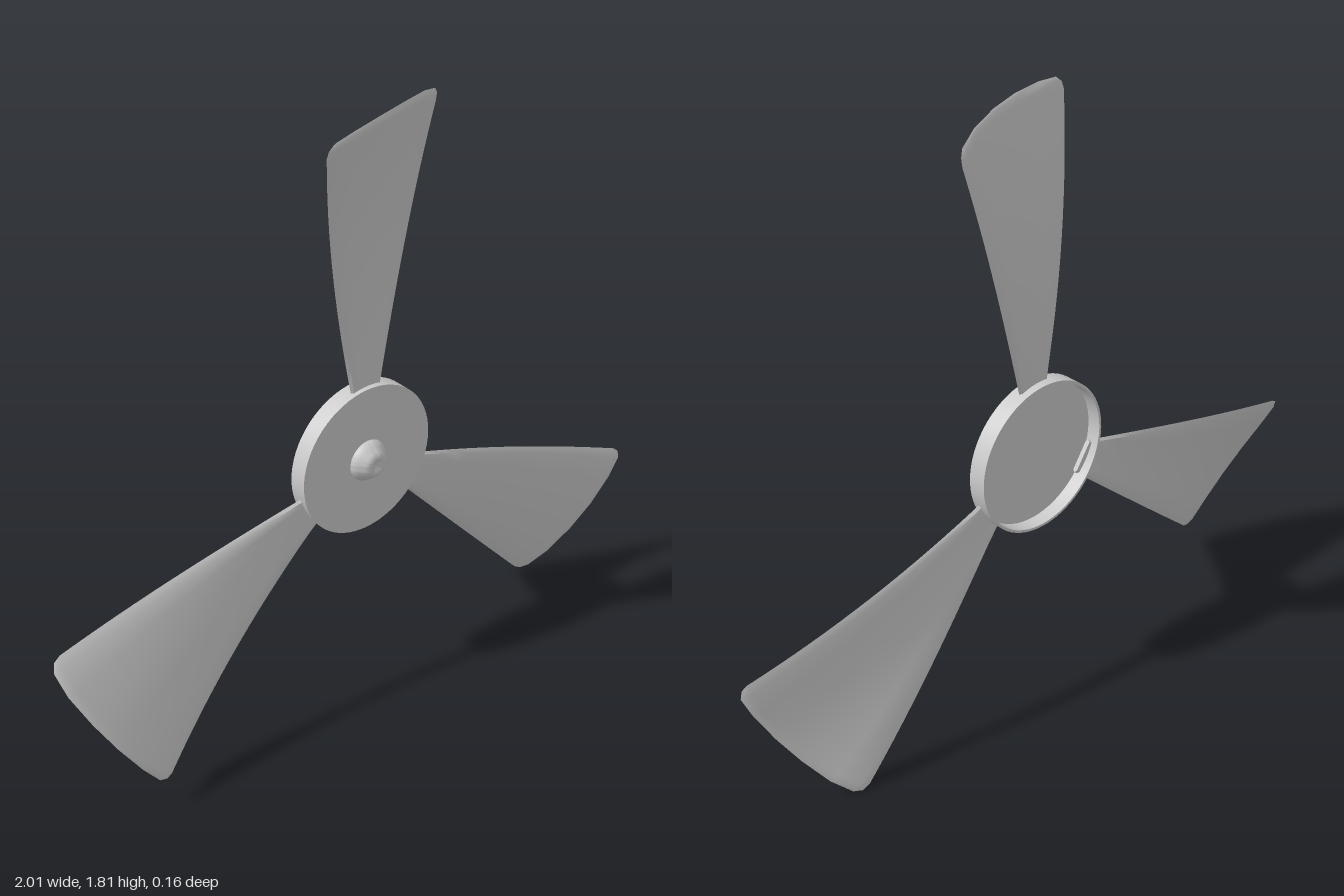
import * as THREE from 'three';
import { toCreasedNormals } from 'three/addons/utils/BufferGeometryUtils.js';

const material = new THREE.MeshStandardMaterial({ color: 0xcccccc, side: THREE.DoubleSide });
const { lerp } = THREE.MathUtils;

// Lathed part whose axis points along +z; points are [radius, z]
function turned(name, points, crease) {
  const profile = points.map(([r, z]) => new THREE.Vector2(r, z));
  const geometry = new THREE.LatheGeometry(profile, 64).rotateX(Math.PI / 2);
  const mesh = new THREE.Mesh(toCreasedNormals(geometry, crease), material);
  mesh.name = name;
  return mesh;
}

// Rounded tip outline: radius of the blade end across its width
const TIP = [[0, 1.0], [0.015, 1.02], [0.06, 1.037], [0.2, 1.047], [0.4, 1.052],
  [0.6, 1.05], [0.8, 1.04], [0.94, 1.02], [0.985, 1.0], [1, 0.975]];
const ROOT = 0.205;

// Twisted, cambered blade point; side is +1 for the front skin, -1 for the back
function bladePoint([u, tip], v, thickness, side) {
  const r = lerp(ROOT, tip, v);
  const t = (r - ROOT) / 0.81;
  const x = lerp(-0.04 - 0.158 * t, 0.063 + 0.25 * t, u);
  const leading = -0.02 + 0.096 * Math.pow(t, 2.2);
  const trailing = -0.025 - 0.05 * Math.sin(t * Math.PI * 0.55);
  const camber = 0.022 * t * 4 * u * (1 - u);
  const edge = Math.min(1, Math.min(u, 1 - u) / 0.06);
  return [x, r, lerp(leading, trailing, u) + camber + side * thickness * edge];
}

// Closed skin: a loop of front and back points for every row along the blade
function bladeGeometry() {
  const last = TIP.length - 1;
  const rows = [[0, 0], [0, 0.007]];
  for (let i = 1; i <= 15; i++) rows.push([i * 0.064, 0.007]);
  rows.push([0.975, 0.007], [0.992, 0.005], [1, 0]);
  const loop = [];
  for (let j = 0; j <= last; j++) loop.push([TIP[j], 1]);
  for (let j = last - 1; j > 0; j--) loop.push([TIP[j], -1]);

  const positions = [];
  const index = [];
  const n = loop.length;
  rows.forEach(([v, thickness], i) => {
    loop.forEach(([station, side], j) => {
      positions.push(...bladePoint(station, v, thickness, side));
      if (i === rows.length - 1) return;
      const a = i * n + j;
      const b = i * n + (j + 1) % n;
      index.push(a, b, b + n, a, b + n, a + n);
    });
  });
  const geometry = new THREE.BufferGeometry();
  geometry.setAttribute('position', new THREE.Float32BufferAttribute(positions, 3));
  geometry.setIndex(index);
  return toCreasedNormals(geometry, 0.7);
}

export function createModel() {
  const model = new THREE.Group();
  model.name = 'propeller';
  const rotor = new THREE.Group();
  rotor.name = 'rotor';
  rotor.position.set(0.015, 0.76, 0);
  model.add(rotor);

  // Shallow hub cup, open at the back
  rotor.add(turned('hub', [[0, -0.012], [0.222, -0.012], [0.222, -0.055],
    [0.23, -0.055], [0.23, 0], [0, 0]], 0.5));

  // Tapered nose with a small dimple in its tip
  rotor.add(turned('nose', [[0.063, 0], [0.062, 0.007], [0.052, 0.02], [0.04, 0.036],
    [0.032, 0.043], [0.023, 0.045], [0.015, 0.042], [0, 0.036]], 1));

  // Three blades around the hub
  const geometry = bladeGeometry();
  for (let i = 0; i < 3; i++) {
    const blade = new THREE.Mesh(geometry, material);
    blade.name = `blade${i + 1}`;
    blade.rotation.z = (i * Math.PI * 2) / 3;
    rotor.add(blade);
  }
  return model;
}
